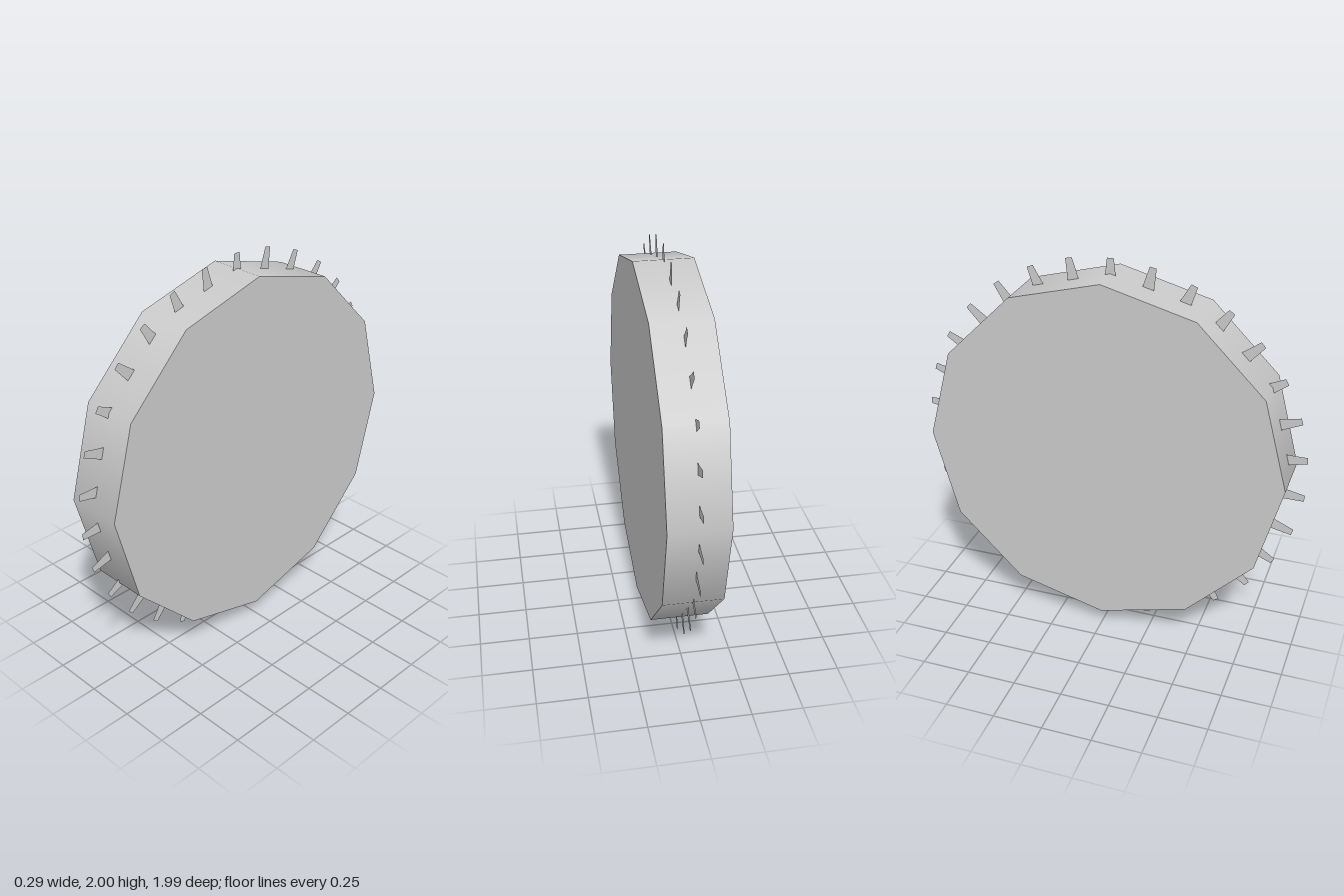
import * as THREE from 'three';

const RADIUS = 0.923, WIDTH = 0.294, TEETH = 30;

export function createModel() {
  const model = new THREE.Group();
  model.name = 'toothedWheel';
  const material = new THREE.MeshStandardMaterial({ color: 0xcccccc });
  const toothMaterial = new THREE.MeshStandardMaterial({ color: 0xcccccc, side: THREE.DoubleSide });

  // Twelve-sided wheel lying on the x axis, smooth around the rim
  const disc = new THREE.Mesh(new THREE.CylinderGeometry(RADIUS, RADIUS, WIDTH, 12).rotateZ(Math.PI / 2), material);
  disc.name = 'wheelDisc';
  disc.position.y = 1;
  model.add(disc);

  // Paper-thin tapered tooth in the middle plane, its root sunk into the rim
  const outline = new THREE.Shape([
    new THREE.Vector2(-0.031, 0.87), new THREE.Vector2(0.031, 0.87),
    new THREE.Vector2(0.017, 1), new THREE.Vector2(-0.017, 1),
  ]);
  const toothGeometry = new THREE.ShapeGeometry(outline).rotateY(Math.PI / 2);

  // Ring of evenly spaced teeth
  const teeth = new THREE.Group();
  teeth.name = 'teeth';
  teeth.position.y = 1;
  for (let i = 0; i < TEETH; i++) {
    const tooth = new THREE.Mesh(toothGeometry, toothMaterial);
    tooth.name = 'tooth';
    tooth.rotation.x = (i / TEETH) * Math.PI * 2;
    teeth.add(tooth);
  }
  model.add(teeth);
  return model;
}
